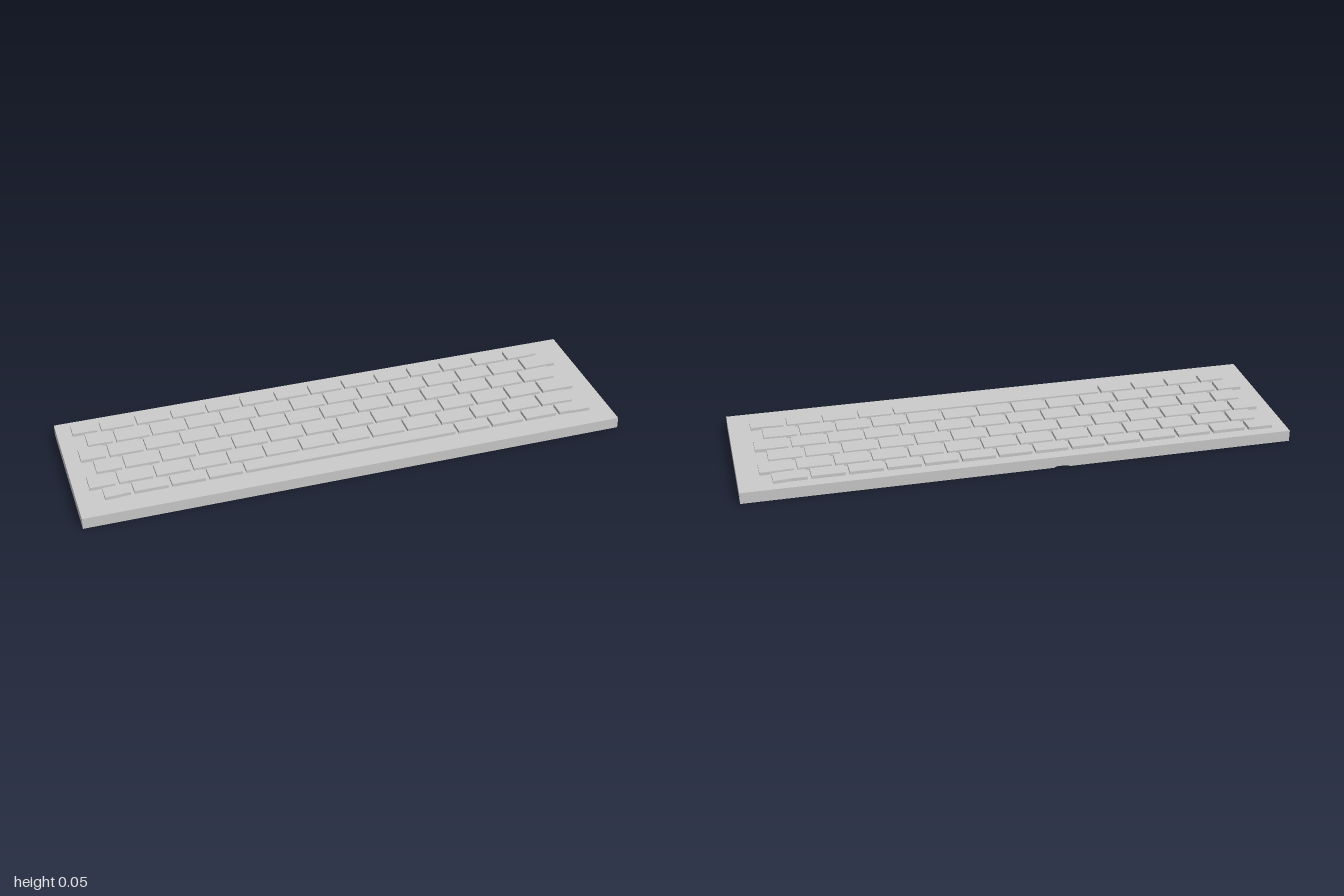
import * as THREE from 'three';

const PITCH = 0.1334, KEY_W = 0.12;
const BASE_TOP = 0.042, KEY_TOP = 0.054;

export function createModel() {
  const model = new THREE.Group();
  model.name = 'keyboard';
  const material = new THREE.MeshStandardMaterial({ color: 0xcccccc, flatShading: true });

  const add = (parent, name, geometry) => {
    const mesh = new THREE.Mesh(geometry, material);
    mesh.name = name;
    parent.add(mesh);
  };

  // A flat slab from a footprint of [x, z] points
  const slab = (points, y0, y1) => {
    const shape = new THREE.Shape(points.map(([x, z]) => new THREE.Vector2(x, -z)));
    return new THREE.ExtrudeGeometry(shape, { depth: y1 - y0, bevelEnabled: false })
      .rotateX(-Math.PI / 2).translate(0, y0, 0);
  };

  // Case: full slab over a thin bottom layer with a small notch at the back
  const X = 1, Z = 0.292;
  const corners = [[-X, -Z], [-X, Z], [X, Z], [X, -Z]];
  const notch = [[-0.11, -Z], [-0.13, -Z + 0.02], [-0.17, -Z]];
  add(model, 'caseBody', slab(corners, 0.005, BASE_TOP));
  add(model, 'caseBottom', slab([...corners, ...notch], 0, 0.005));

  // Keys near both ends fan out slightly in depth
  const flare = (x) => 1 + 0.02 * THREE.MathUtils.clamp((Math.abs(x) - 0.83) / 0.04, 0, 1);
  const key = (x0, x1, z0, z1) => {
    const segments = Math.max(Math.abs(x0), Math.abs(x1)) > 0.83 ? 4 : 1;
    const g = new THREE.BoxGeometry(x1 - x0, KEY_TOP - BASE_TOP, z1 - z0, segments, 1, 1);
    g.translate((x0 + x1) / 2, (KEY_TOP + BASE_TOP) / 2, (z0 + z1) / 2);
    const p = g.attributes.position;
    for (let i = 0; i < p.count; i++) p.setZ(i, p.getZ(i) * flare(p.getX(i)));
    g.computeVertexNormals();
    return g;
  };

  // Six staggered rows, back to front: [back z, front z]
  const rows = [[-0.25, -0.194], [-0.182, -0.11], [-0.099, -0.027],
    [-0.015, 0.057], [0.07, 0.141], [0.153, 0.208]];
  rows.forEach(([z0, z1], r) => {
    const row = new THREE.Group();
    row.name = `keyRow${r + 1}`;
    model.add(row);
    const start = r % 2 ? -0.8 : -0.84;
    // Narrow key at the left end of the row
    const first = r % 2 ? -0.904 : -0.945;
    add(row, 'endKey', key(first, first + 0.09, z0, z1));
    for (let i = 0; i < 13; i++) {
      const x = start + i * PITCH;
      if (r === 5 && i === 3) {
        // Space bar takes the room of six keys
        add(row, 'spaceBar', key(x, x + 5 * PITCH + KEY_W, z0, z1));
        i = 8;
      } else add(row, 'key', key(x, x + KEY_W, z0, z1));
    }
  });

  return model;
}
